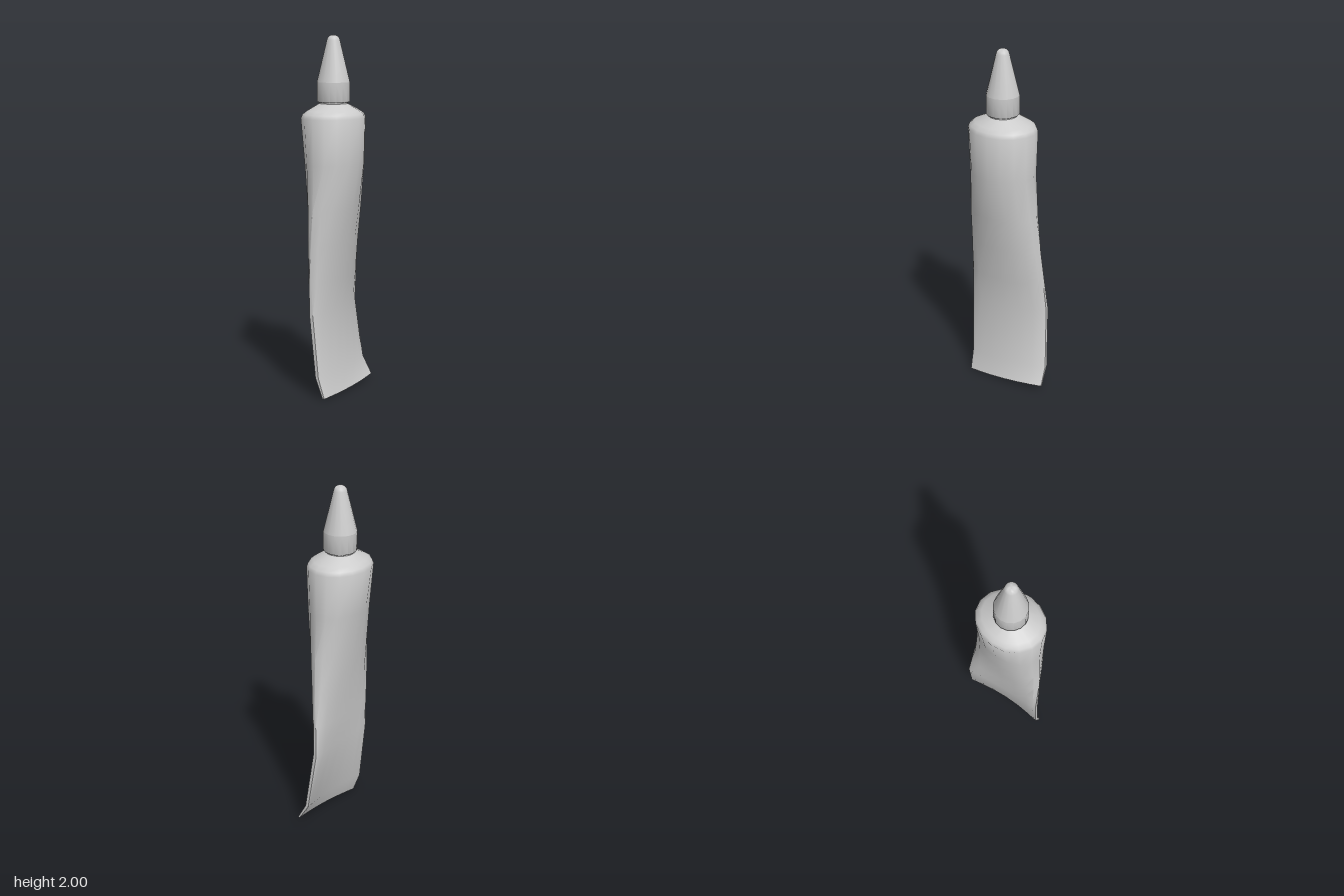
import * as THREE from 'three';
import { toCreasedNormals } from 'three/addons/utils/BufferGeometryUtils.js';

const AXIS_Z = 0.043;
const material = new THREE.MeshStandardMaterial({ color: 0xcccccc, side: THREE.DoubleSide });

// Cross-sections, bottom to top: y at front, y at back, z front, z back,
// centre x at front / middle / back, half thickness, half thickness at the edge
const SECTIONS = [
  [0.0, 0.03, 0.23, -0.25, 0.06, 0.078, 0.06, 0.008, 0.006],
  [0.115, 0.13, 0.235, -0.245, 0.02, 0.04, 0.0, 0.016, 0.01],
  [0.47, 0.48, 0.246, -0.222, -0.01, 0.0, -0.045, 0.034, 0.011],
  [0.65, 0.65, 0.25, -0.207, -0.012, 0.003, -0.032, 0.055, 0.008],
  [0.85, 0.85, 0.25, -0.19, -0.008, 0.006, -0.018, 0.08, 0.003],
  [1.05, 1.05, 0.244, -0.172, 0, 0.01, -0.006, 0.113, 0],
  [1.3, 1.3, 0.234, -0.152, 0, 0.015, 0, 0.15, 0],
  [1.55, 1.55, 0.241, -0.155, 0, 0, 0, 0.17, 0],
  [1.572, 1.572, 0.232, -0.146, 0, 0, 0, 0.16, 0],
  [1.59, 1.59, 0.205, -0.119, 0, 0, 0, 0.138, 0],
  [1.628, 1.628, 0.123, -0.037, 0, 0, 0, 0.08, 0],
];
const HALF = 8; // segments along each flank

// One closed ring: front to back on +x, then back to front on -x
function ring([yF, yB, zF, zB, xF, xM, xB, t, e]) {
  const flank = (side) => Array.from({ length: HALF + 1 }, (_, i) => {
    const a = (i / HALF) * Math.PI;
    const s = (1 - Math.cos(a)) / 2;
    const mid = 4 * s * (1 - s);
    const centre = xF + (xB - xF) * s + (xM - (xF + xB) / 2) * mid;
    return [centre + side * (e + (t - e) * Math.sin(a)), yF + (yB - yF) * s, zF + (zB - zF) * s];
  });
  return [...flank(1), ...flank(-1).reverse()];
}

function squeezedTube() {
  const n = 2 * (HALF + 1);
  const positions = SECTIONS.flatMap((s) => ring(s).flat());
  const index = [];
  for (let r = 0; r < SECTIONS.length - 1; r++) {
    for (let i = 0; i < n; i++) {
      const a = r * n + i, b = r * n + (i + 1) % n;
      index.push(a, b, b + n, a, b + n, a + n);
    }
  }
  // Close the thin bottom end
  for (let i = 0; i < HALF; i++) {
    const a = i, b = i + 1, c = n - 2 - i, d = n - 1 - i;
    index.push(a, d, c, a, c, b);
  }
  const geometry = new THREE.BufferGeometry();
  geometry.setAttribute('position', new THREE.Float32BufferAttribute(positions, 3));
  geometry.setIndex(index);
  return toCreasedNormals(geometry, 0.7);
}

const lathe = (profile) => toCreasedNormals(
  new THREE.LatheGeometry(profile.map(([r, y]) => new THREE.Vector2(r, y)), 16), 0.7);

export function createModel() {
  const group = new THREE.Group();
  const add = (name, geometry, z = 0) => {
    const mesh = new THREE.Mesh(geometry, material);
    mesh.name = name;
    mesh.position.z = z;
    group.add(mesh);
  };

  // Round shoulder flattening into a bent, crimped end
  add('tubeBody', squeezedTube());

  // Neck, then the cap as a straight skirt and a tapered tip
  add('neck', lathe([[0.08, 1.622], [0.08, 1.66]]), AXIS_Z);
  add('capSkirt', lathe([[0.075, 1.64], [0.088, 1.636], [0.092, 1.641], [0.092, 1.745]]), AXIS_Z);
  add('capTip', lathe([
    [0.092, 1.745], [0.037, 1.97], [0.033, 1.983], [0.024, 1.993], [0.012, 1.999], [0, 2],
  ]), AXIS_Z);

  return group;
}
